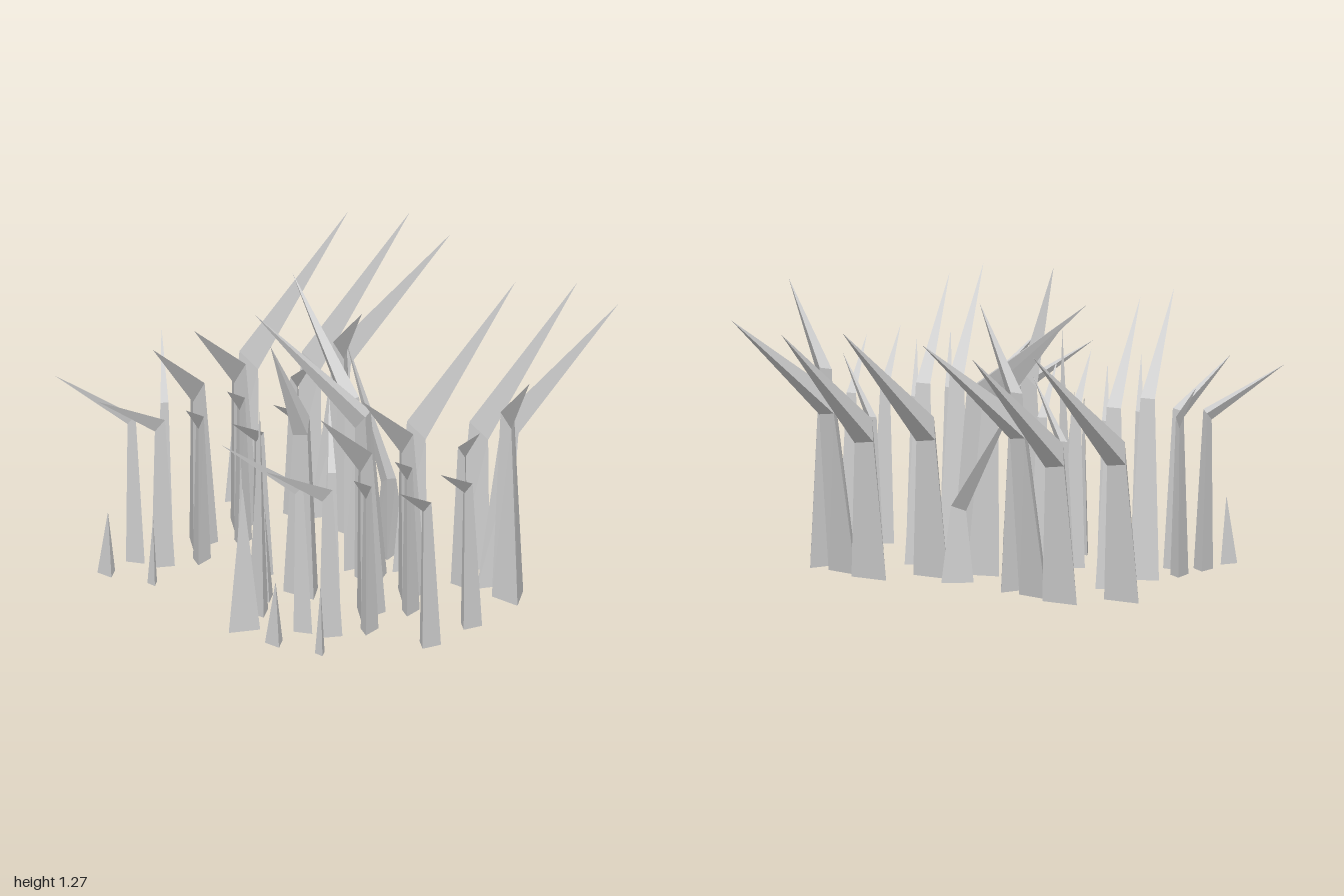
import * as THREE from 'three';

const material = new THREE.MeshStandardMaterial({ color: 0xcccccc, flatShading: true });

// Faceted mesh from a list of triangular sections (bottom first) closed by a tip.
function taper(name, sections, tip) {
  const pos = [];
  const tri = (...pts) => pts.forEach((p) => pos.push(...p));
  const [a, b, c] = sections[0];
  tri(a, c, b);
  for (let s = 0; s < sections.length; s++) {
    const low = sections[s], high = sections[s + 1];
    for (let i = 0; i < 3; i++) {
      const j = (i + 1) % 3;
      if (high) {
        tri(low[i], low[j], high[j]);
        tri(low[i], high[j], high[i]);
      } else tri(low[i], low[j], tip);
    }
  }
  const geo = new THREE.BufferGeometry();
  geo.setAttribute('position', new THREE.Float32BufferAttribute(pos, 3));
  geo.computeVertexNormals();
  const mesh = new THREE.Mesh(geo, material);
  mesh.name = name;
  return mesh;
}

// Order three [x, z] points counter-clockwise as seen from above.
function ordered([a, b, c]) {
  const up = (b[1] - a[1]) * (c[0] - a[0]) - (b[0] - a[0]) * (c[1] - a[1]);
  return up > 0 ? [a, b, c] : [a, c, b];
}

const centre = (t) => [0, 1].map((k) => (t[0][k] + t[1][k] + t[2][k]) / 3);

// Bent blade: base triangle, narrower tilted bend section, then a long point.
function blade(name, base, tip, bendY, shift, scale = 0.48, tilt = 1.3) {
  const t = ordered(base);
  const [cx, cz] = centre(t);
  const len = Math.hypot(tip[0] - cx, tip[2] - cz);
  const dx = (tip[0] - cx) / len, dz = (tip[2] - cz) / len;
  const bend = t.map(([x, z]) => {
    const ox = (x - cx) * scale, oz = (z - cz) * scale;
    return [cx + ox + dx * shift, bendY - tilt * (ox * dx + oz * dz), cz + oz + dz * shift];
  });
  return taper(name, [t.map(([x, z]) => [x, 0, z]), bend], tip);
}

// Straight spike with its tip over the centre of the base.
function spike(name, base, height) {
  const t = ordered(base);
  const [cx, cz] = centre(t);
  return taper(name, [t.map(([x, z]) => [x, 0, z])], [cx, height, cz]);
}

const moved = (pts, x, z = 0) => pts.map((p) => [p[0] + x, p[1] + z]);

// The clump of blades that appears twice.
function createClump() {
  const g = new THREE.Group();

  // tall blades leaning to the left side
  const wide = [[0.045, -0.86], [0.175, -0.96], [0.18, -0.78]];
  g.add(blade('tallSideBlade', wide, [0.77, 1.17, -0.81], 0.64, 0.05, 0.54));
  g.add(blade('tallSideBlade', moved(wide, 0.185, 0.2), [0.95, 1.17, -0.61], 0.64, 0.05, 0.54));
  g.add(blade('tallSideBlade', [[0.18, -0.48], [0.32, -0.57], [0.295, -0.41]],
    [0.89, 1.19, -0.305], 0.74, 0.1, 0.54));

  // tall blades leaning the other way, and three rows of paired small ones
  const tall = [[-0.055, -0.73], [0, -0.61], [-0.135, -0.63]];
  const smallA = [[-0.195, -0.575], [-0.14, -0.52], [-0.23, -0.51]];
  const smallB = [[-0.11, -0.3], [-0.07, -0.21], [-0.155, -0.24]];
  for (const x of [0, -0.26]) {
    g.add(blade('tallBlade', moved(tall, x), [-0.58 + x, 1.19, -0.45], 0.77, 0.05));
    g.add(blade('smallBlade', moved(smallA, x), [-0.487 + x, 0.9, -0.34], 0.69, 0.03, 0.43));
    g.add(blade('smallBlade', moved(smallB, x), [-0.444 + x, 0.9, -0.105], 0.69, 0.025, 0.43));
  }
  g.add(blade('tallFrontBlade', [[0.17, -0.38], [0.305, -0.32], [0.18, -0.235]],
    [0.02, 1.21, -0.01], 0.86, -0.045, 0.42));

  // small blades fanning out around the edge
  g.add(blade('smallBlade', [[-0.565, -0.67], [-0.565, -0.58], [-0.65, -0.64]], [-0.95, 0.9, -0.675], 0.69, 0.015, 0.43));
  g.add(blade('smallBlade', [[-0.595, -0.765], [-0.64, -0.69], [-0.68, -0.765]], [-0.89, 0.9, -1], 0.69, 0.02, 0.43));
  g.add(blade('smallBlade', [[-0.52, -0.745], [-0.46, -0.69], [-0.42, -0.76]], [-0.215, 0.9, -0.995], 0.69, 0.015, 0.43));
  g.add(blade('smallBlade', [[0.14, -0.6], [0.215, -0.565], [0.15, -0.51]], [-0.025, 0.9, -0.265], 0.66, 0.015, 0.43));

  // short spikes
  g.add(spike('shortSpike', [[-0.845, -0.78], [-0.775, -0.74], [-0.84, -0.7]], 0.3));
  g.add(spike('shortSpike', [[-0.77, -0.55], [-0.73, -0.53], [-0.77, -0.505]], 0.32));
  return g;
}

export function createModel() {
  const model = new THREE.Group();
  model.name = 'grassTuft';

  const back = createClump();
  back.name = 'backClump';
  const front = createClump();
  front.name = 'frontClump';
  front.position.z = 1.01;
  model.add(back, front);

  // single blades in the middle
  const middle = new THREE.Group();
  middle.name = 'middleBlades';
  middle.add(blade('tallBlade', [[-0.095, -0.01], [0.045, 0.04], [0, -0.1]], [0.135, 1.19, -0.54], 0.77, 0.04));
  middle.add(blade('tallBlade', [[-0.115, 0.2], [0.025, 0.135], [-0.1, 0.06]], [-0.28, 1.19, -0.37], 0.77, 0.04));
  middle.add(blade('lowBlade', [[0.115, 0.05], [0.27, 0.02], [0.18, -0.09]], [0.33, 0.86, -0.41], 0.34, 0.01, 0.46, 0.7));
  middle.add(blade('tallestBlade', [[-0.42, -0.065], [-0.29, 0.02], [-0.39, 0.09]], [-0.58, 1.27, 0.01], 0.8, 0.01));

  // single straight spikes
  middle.add(spike('spike', [[-0.885, 0.05], [-0.755, -0.015], [-0.765, 0.125]], 0.68));
  middle.add(spike('spike', [[-0.675, -0.035], [-0.595, 0.01], [-0.67, 0.055]], 0.98));
  middle.add(spike('spike', [[-0.685, -0.1], [-0.62, -0.14], [-0.63, -0.08]], 0.72));
  middle.add(spike('spike', [[-0.555, -0.13], [-0.475, -0.075], [-0.545, -0.03]], 0.45));
  model.add(middle);
  return model;
}
